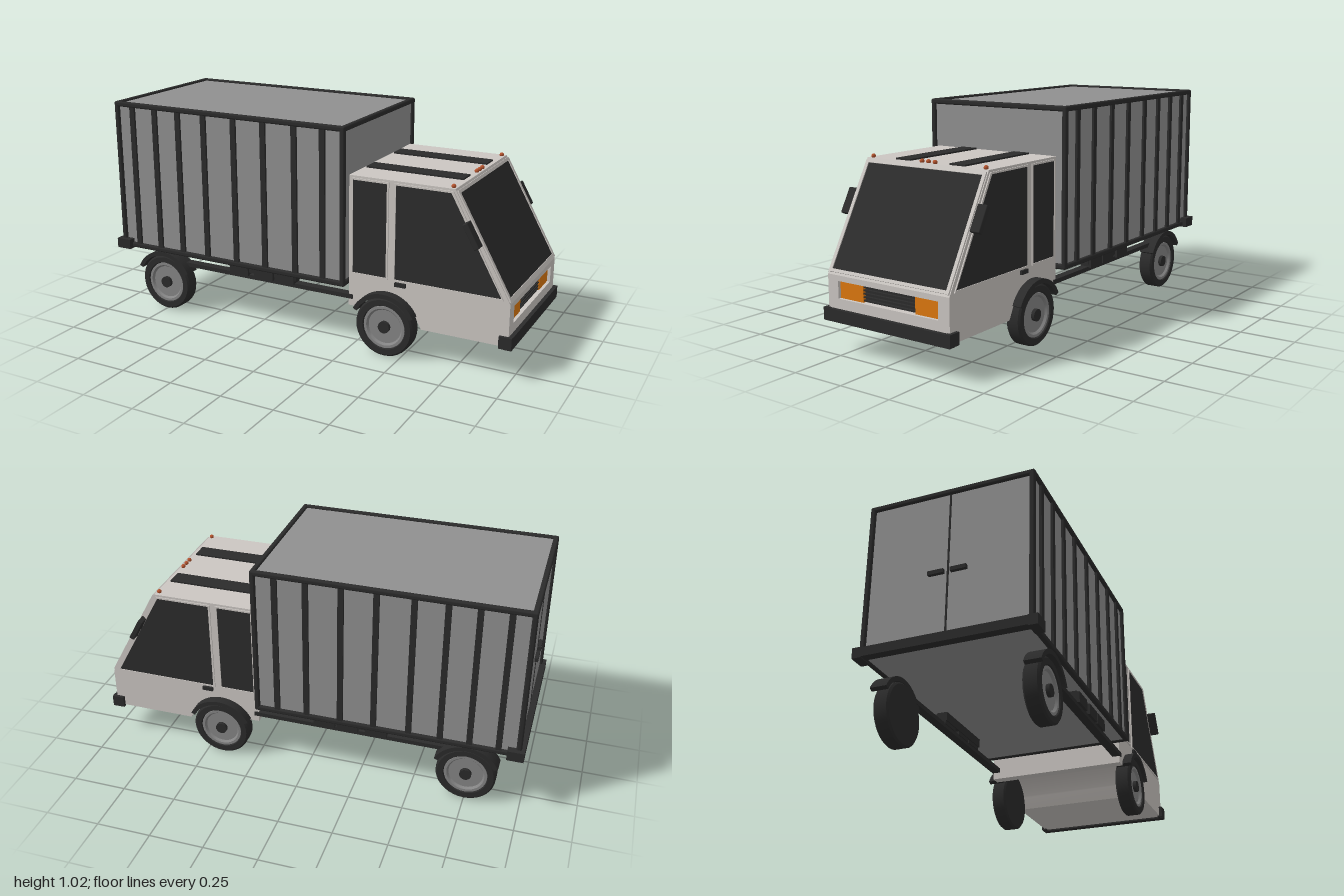
import * as THREE from 'three';
import { toCreasedNormals } from 'three/addons/utils/BufferGeometryUtils.js';
import { RoundedBoxGeometry } from 'three/addons/geometries/RoundedBoxGeometry.js';

const mat = (color) => new THREE.MeshStandardMaterial({ color });
const DARK = mat(0x2b2b2b), GLASS = mat(0x2c2c2c), PANEL = mat(0x909090), PAINT = mat(0xcbc6c2);
const ORANGE = mat(0xdd780f), LAMP = mat(0xb4532d), RIM = mat(0x858585);

function add(parent, name, geometry, material, x = 0, y = 0, z = 0) {
  const mesh = new THREE.Mesh(geometry, material);
  mesh.name = name;
  mesh.position.set(x, y, z);
  parent.add(mesh);
  return mesh;
}

// Box given by its limits on each axis
function block(parent, name, material, [x0, x1], [y0, y1], [z0, z1], round = 0) {
  const s = [x1 - x0, y1 - y0, z1 - z0];
  const g = round ? new RoundedBoxGeometry(...s, 2, round) : new THREE.BoxGeometry(...s);
  return add(parent, name, g, material, (x0 + x1) / 2, (y0 + y1) / 2, (z0 + z1) / 2);
}

const polygon = (pts) => new THREE.Shape(pts.map(([x, y]) => new THREE.Vector2(x, y)));
const extrude = (shape, depth) => toCreasedNormals(
  new THREE.ExtrudeGeometry(shape, { depth, bevelEnabled: false, curveSegments: 28 }), 0.5);

const WHEEL_Y = 0.137, AXLES = { rear: -0.75, front: 0.425 };

function cargoBox(truck) {
  const box = new THREE.Group();
  box.name = 'cargoBox';
  truck.add(box);
  block(box, 'cargoPanels', PANEL, [-0.972, 0.228], [0.304, 1.008], [-0.361, 0.361]);

  // Rounded bars along all twelve edges
  const X = [-0.985, 0.24], Y = [0.298, 1.018], Z = [-0.375, 0.375], t = 0.024;
  const ends = ([a, b]) => [[a, a + t], [b - t, b]];
  for (const y of ends(Y)) for (const z of ends(Z)) block(box, 'frameRail', DARK, X, y, z, 0.008);
  for (const x of ends(X)) for (const z of ends(Z)) block(box, 'framePost', DARK, x, Y, z, 0.008);
  for (const x of ends(X)) for (const y of ends(Y)) block(box, 'frameCrossbar', DARK, x, y, Z, 0.008);

  // Side ribs
  for (const x of [-0.885, -0.757, -0.626, -0.484, -0.323, -0.168, -0.01, 0.13])
    for (const s of [-1, 1])
      block(box, 'sideRib', DARK, [x - 0.013, x + 0.013], [0.31, 1.01], s > 0 ? [0.35, 0.372] : [-0.372, -0.35]);

  // Rear doors: centre seam and handles
  block(box, 'doorSeam', DARK, [-0.975, -0.965], [0.31, 1.0], [-0.004, 0.004]);
  for (const z of [-0.05, 0.05]) {
    block(box, 'doorHandle', DARK, [-0.988, -0.97], [0.615, 0.633], [z - 0.035, z + 0.035]);
  }
}

function chassis(truck) {
  block(truck, 'rearBumper', DARK, [-1, -0.96], [0.297, 0.338], [-0.39, 0.39]);
  for (const s of [-1, 1]) {
    const side = (a, b) => (s > 0 ? [a, b] : [-b, -a]);
    block(truck, 'rearBumperEnd', DARK, [-1, -0.925], [0.293, 0.34], side(0.355, 0.396));
    block(truck, 'chassisRail', DARK, [-0.78, 0.26], [0.232, 0.252], side(0.29, 0.33));
    // Equipment boxes hung between cargo floor and rail
    block(truck, 'sideLocker', DARK, [-0.38, -0.03], [0.262, 0.302], side(0.28, 0.33));
    for (const x of [-0.38, -0.245, -0.135])
      block(truck, 'lockerDoor', DARK, [x, x + 0.1], [0.247, 0.297], side(0.285, 0.342));
  }
}

// Wheel with its outer face toward local +z
function wheel() {
  const g = new THREE.Group();
  const lathe = (pts) => toCreasedNormals(
    new THREE.LatheGeometry(pts.map(([r, y]) => new THREE.Vector2(r, y)), 36).rotateX(Math.PI / 2), 0.5);
  add(g, 'tyre', lathe([[0, -0.035], [0.128, -0.035], [0.136, -0.027], [0.136, 0.027],
    [0.128, 0.035], [0.102, 0.035], [0.096, 0.02]]), DARK);
  add(g, 'rim', lathe([[0.1, 0.02], [0.098, 0.03], [0.086, 0.03], [0.078, 0.02], [0, 0.02]]), RIM);
  add(g, 'hub', new THREE.CylinderGeometry(0.027, 0.027, 0.02, 20).rotateX(Math.PI / 2), DARK, 0, 0, 0.026);
  return g;
}

function wheels(truck) {
  const a = 0.46, arch = new THREE.Shape();
  arch.absarc(0, 0, 0.16, a, Math.PI - a, false);
  arch.absarc(0, 0, 0.14, Math.PI - a, a, true);
  const fender = extrude(arch, 0.075);
  for (const [end, x] of Object.entries(AXLES)) for (const s of [-1, 1]) {
    const w = wheel();
    w.name = `${end}Wheel`;
    w.position.set(x, WHEEL_Y, s * 0.319);
    w.rotation.y = s > 0 ? 0 : Math.PI;
    truck.add(w);
    add(truck, `${end}Fender`, fender, DARK, x, WHEEL_Y, s > 0 ? 0.293 : -0.368);
  }
}

function cab(truck) {
  const g = new THREE.Group();
  g.name = 'cab';
  truck.add(g);

  // Body from its side outline, with the wheel arch cut through
  const body = polygon([[0.24, 0.2], [0.24, 0.8], [0.725, 0.8], [0.982, 0.34], [0.95, 0.34], [0.95, 0.15], [0.59, 0.15]]);
  body.absarc(AXLES.front, WHEEL_Y, 0.153, 0.42, Math.PI - 0.42, false);
  add(g, 'cabBody', extrude(body, 0.65), PAINT, 0, 0, -0.325);

  // Nose panel with an opening for grille and headlights
  const rect = (w, y0, y1) => [[-w, y0], [w, y0], [w, y1], [-w, y1]];
  const nose = polygon(rect(0.325, 0.15, 0.34));
  nose.holes.push(polygon(rect(0.268, 0.24, 0.316)));
  add(g, 'nosePanel', extrude(nose, 0.032).rotateY(Math.PI / 2), PAINT, 0.95);
  block(g, 'grilleBack', DARK, [0.948, 0.953], [0.24, 0.316], [-0.268, 0.268]);
  for (let i = 0; i < 5; i++)
    block(g, 'grilleSlat', DARK, [0.95, 0.966], [0.246 + i * 0.0145, 0.252 + i * 0.0145], [-0.14, 0.14]);
  for (const z of [[0.14, 0.268], [-0.268, -0.14]])
    block(g, 'headlight', ORANGE, [0.95, 0.968], [0.24, 0.316], z);
  block(g, 'frontBumper', DARK, [0.965, 1], [0.142, 0.196], [-0.338, 0.338]);

  // Windscreen lying on the slope, with a thin surround
  const screen = new THREE.Group();
  screen.name = 'windscreen';
  screen.position.set(0.8535, 0.57, 0);
  screen.rotation.z = Math.atan2(0.257, 0.46);
  g.add(screen);
  block(screen, 'windscreenGlass', GLASS, [-0.01, 0.003], [-0.244, 0.24], [-0.305, 0.305]);
  for (const s of [-1, 1]) {
    block(screen, 'windscreenSide', PAINT, [-0.004, 0.007], [-0.255, 0.25], [s * 0.313 - 0.008, s * 0.313 + 0.008]);
    block(screen, 'windscreenEdge', PAINT, [-0.004, 0.007], [s * 0.246 - 0.007, s * 0.246 + 0.007], [-0.32, 0.32]);
    // Mirror, parallel to the windscreen
    block(screen, 'mirror', DARK, [-0.022, 0.002], [0.005, 0.122], s > 0 ? [0.322, 0.37] : [-0.37, -0.322], 0.004);
  }

  // Side windows with frames, door handles and bumper ends
  const windows = [
    { c: [0.34, 0.57], pts: [[0.26, 0.36], [0.42, 0.36], [0.42, 0.782], [0.26, 0.782]] },
    { c: [0.63, 0.56], pts: [[0.462, 0.36], [0.945, 0.36], [0.71, 0.782], [0.462, 0.782]] },
  ];
  for (const { c, pts } of windows) {
    const grow = pts.map(([x, y]) => [x + Math.sign(x - c[0]) * 0.009, y + Math.sign(y - c[1]) * 0.008]);
    const frame = polygon(grow);
    frame.holes.push(polygon(pts));
    for (const s of [-1, 1]) {
      add(g, 'sideWindow', extrude(polygon(pts), 0.006), GLASS, 0, 0, s > 0 ? 0.321 : -0.327);
      add(g, 'windowFrame', extrude(frame, 0.008), PAINT, 0, 0, s > 0 ? 0.322 : -0.33);
    }
  }
  for (const s of [-1, 1]) {
    const side = (a, b) => (s > 0 ? [a, b] : [-b, -a]);
    block(g, 'doorHandle', DARK, [0.465, 0.515], [0.33, 0.348], side(0.32, 0.336));
    block(g, 'frontBumperEnd', DARK, [0.943, 1], [0.144, 0.198], side(0.315, 0.34));
  }

  // Roof strips and marker lamps
  for (const z of [-0.15, 0.14])
    block(g, 'roofStrip', DARK, [0.252, 0.706], [0.795, 0.807], [z - 0.04, z + 0.04]);
  for (const z of [-0.3, -0.038, -0.003, 0.032, 0.305])
    add(g, 'markerLamp', new THREE.SphereGeometry(0.01, 14, 10), LAMP, 0.71, 0.806, z);
}

export function createModel() {
  const truck = new THREE.Group();
  truck.name = 'boxTruck';
  cargoBox(truck);
  chassis(truck);
  wheels(truck);
  cab(truck);
  return truck;
}
